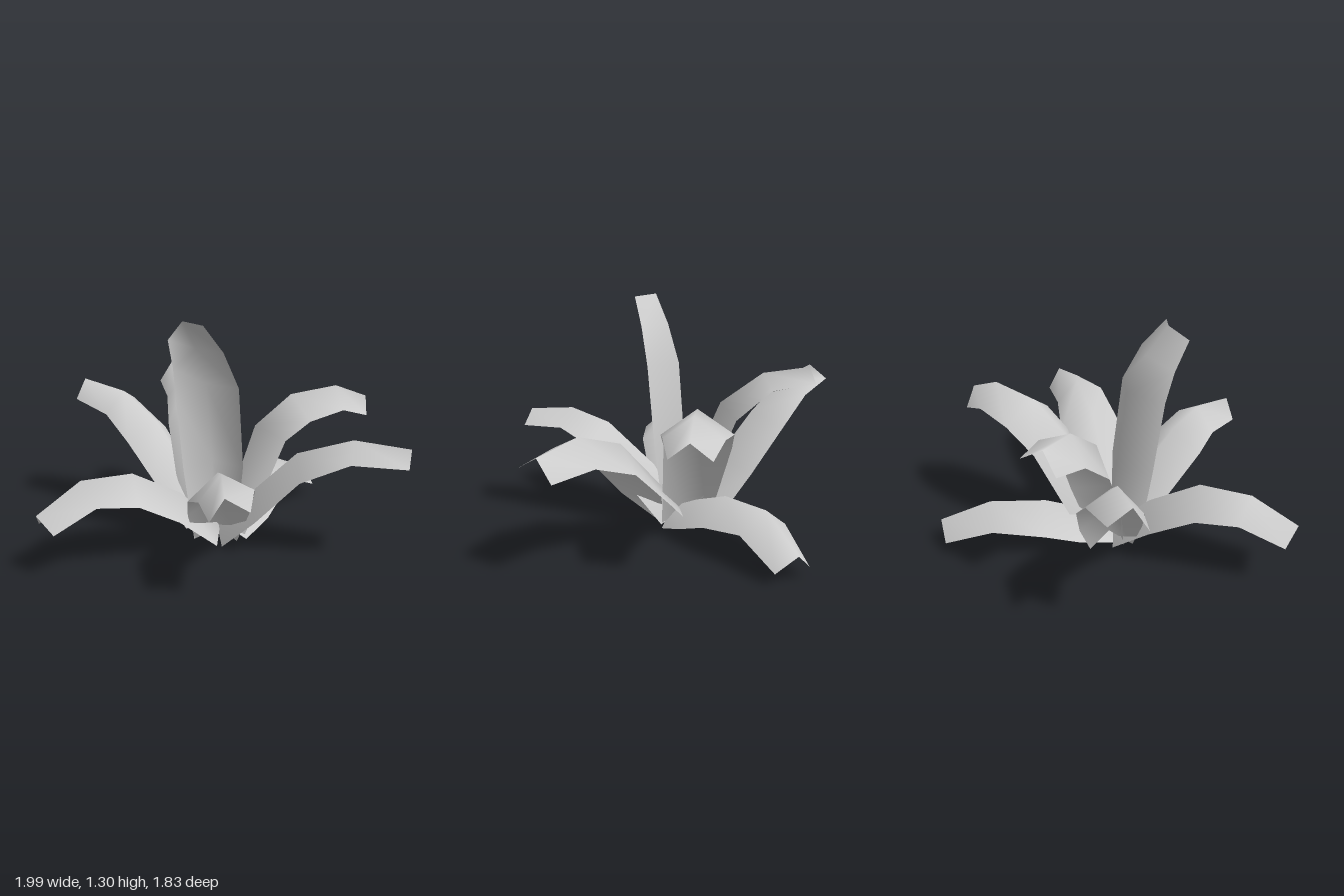
import * as THREE from 'three';

const leafGrey = new THREE.MeshStandardMaterial({ color: 0xcccccc, side: THREE.DoubleSide });
leafGrey.name = 'leafGrey';

// half width and depth of the fold, from the base of a leaf to its cut tip
const HALF_WIDTH = [0.13, 0.18, 0.185, 0.15, 0.105];
const FOLD = [0.1, 0.125, 0.13, 0.115, 0.1];

// A folded leaf: a ridge line with two edges drooping on either side of it.
// The sideways direction turns from baseSide to tipSide along the leaf.
function leaf(name, baseSide, tipSide, ridge, width = 1) {
  const points = ridge.map((p) => new THREE.Vector3(...p));
  const last = points.length - 1;
  const positions = [];
  const index = [];
  points.forEach((p, i) => {
    const before = points[Math.max(i - 1, 0)];
    const after = points[Math.min(i + 1, last)];
    const along = after.clone().sub(before).normalize();
    const sideways = new THREE.Vector3(...baseSide).lerp(new THREE.Vector3(...tipSide), i / last);
    const up = sideways.cross(along).normalize();
    const across = along.clone().cross(up);
    for (const s of [-1, 0, 1]) {
      const v = p.clone().addScaledVector(across, s * width * HALF_WIDTH[i]);
      v.addScaledVector(up, -Math.abs(s) * FOLD[i]);
      positions.push(v.x, Math.max(v.y, 0), v.z);
    }
    if (i === 0) return;
    for (let j = 0; j < 2; j++) {
      const a = (i - 1) * 3 + j;
      const d = i * 3 + j;
      index.push(a, a + 1, d + 1, a, d + 1, d);
    }
  });
  const geometry = new THREE.BufferGeometry();
  geometry.setAttribute('position', new THREE.Float32BufferAttribute(positions, 3));
  geometry.setIndex(index);
  geometry.computeVertexNormals();
  const mesh = new THREE.Mesh(geometry, leafGrey);
  mesh.name = name;
  return mesh;
}

export function createModel() {
  const plant = new THREE.Group();
  plant.name = 'plant';
  plant.add(
    // upright leaf in the middle
    leaf('uprightLeaf', [-1, 0, 0.2], [-1, -0.4, 0.15], [
      [-0.08, 0.04, -0.04], [-0.085, 0.48, -0.02], [-0.11, 0.94, 0.03], [-0.15, 1.15, 0.12], [-0.2, 1.31, 0.225]], 0.92),
    // leaves spreading to the front and the sides
    leaf('frontLeaf', [-1, -0.1, 0], [-1, -0.25, 0.2], [
      [-0.06, 0.08, -0.02], [-0.03, 0.34, 0.15], [0.01, 0.57, 0.43], [0.06, 0.645, 0.65], [0.11, 0.62, 0.91]], 0.93),
    leaf('leftLeaf', [-0.1, 0, 1], [-0.12, 0.25, 1], [
      [-0.06, 0.09, -0.02], [0.13, 0.31, 0.05], [0.4, 0.585, 0.11], [0.7, 0.69, 0.17], [1, 0.66, 0.2]]),
    leaf('frontRightLeaf', [-0.5, 0, -0.85], [-0.6, 0, -0.8], [
      [-0.04, 0.09, -0.01], [-0.25, 0.32, 0.1], [-0.48, 0.485, 0.27], [-0.72, 0.49, 0.43], [-0.91, 0.35, 0.6]]),
    // leaves spreading to the back
    leaf('backRightLeaf', [0.3, 0.1, -0.9], [0.4, 0.2, -0.85], [
      [-0.11, 0.1, -0.08], [-0.26, 0.37, -0.17], [-0.46, 0.62, -0.28], [-0.685, 0.78, -0.38], [-0.95, 0.83, -0.465]], 0.93),
    leaf('innerBackLeaf', [0.85, 0.35, -0.4], [0.85, 0.25, -0.5], [
      [-0.06, 0.08, 0], [-0.11, 0.4, -0.08], [-0.18, 0.72, -0.2], [-0.29, 0.89, -0.41], [-0.43, 0.92, -0.635]]),
    leaf('lowBackLeaf', [0.85, 0, 0.3], [0.8, 0, 0.45], [
      [-0.02, 0.11, 0.02], [0.04, 0.2, -0.16], [0.11, 0.28, -0.37], [0.24, 0.295, -0.655], [0.41, 0.16, -0.895]]),
    leaf('backLeftLeaf', [0.5, 0, 0.85], [0.4, 0, 0.9], [
      [-0.04, 0.08, -0.04], [0.14, 0.64, -0.21], [0.34, 0.81, -0.31], [0.6, 0.845, -0.42], [0.78, 0.77, -0.49]]),
  );
  return plant;
}
